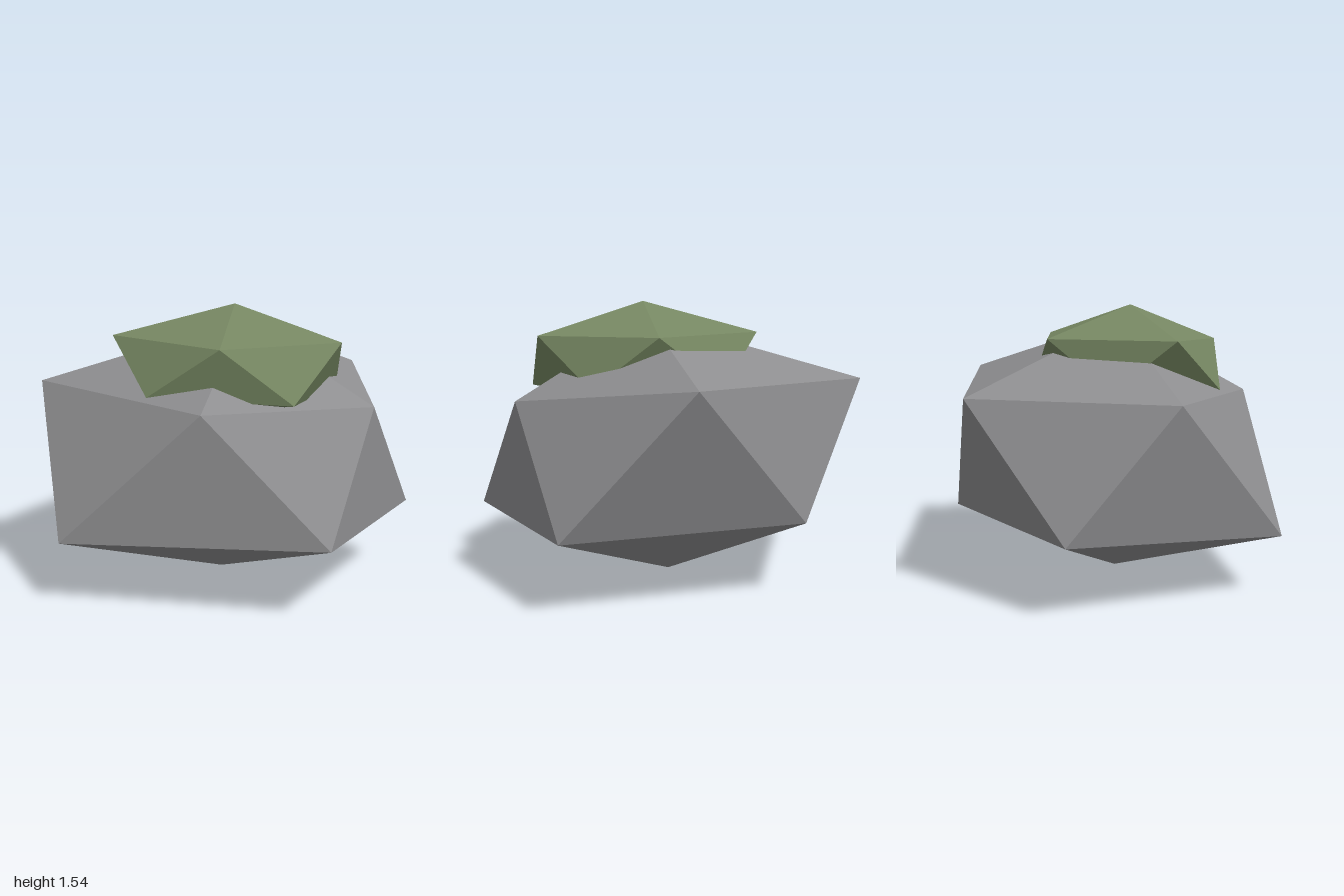
import * as THREE from 'three';

// Faceted boulder: a top point, a five-point upper ring, a staggered lower ring and a bottom point.
// Both rings run counterclockwise seen from above; lower[i] sits between upper[i] and upper[i + 1].
function facetedLump(name, material, top, upper, lower, bottom) {
  const positions = [];
  const face = (...corners) => corners.forEach((c) => positions.push(...c));
  for (let i = 0; i < 5; i++) {
    const j = (i + 1) % 5;
    face(top, upper[i], upper[j]);
    face(upper[i], lower[i], upper[j]);
    face(lower[i], lower[j], upper[j]);
    face(bottom, lower[j], lower[i]);
  }
  const geometry = new THREE.BufferGeometry();
  geometry.setAttribute('position', new THREE.Float32BufferAttribute(positions, 3));
  geometry.computeVertexNormals();
  const mesh = new THREE.Mesh(geometry, material);
  mesh.name = name;
  return mesh;
}

function flatMaterial(name, color) {
  const material = new THREE.MeshStandardMaterial({ color, flatShading: true });
  material.name = name;
  return material;
}

export function createModel() {
  const group = new THREE.Group();
  group.name = 'mossyRock';

  // Large grey stone
  group.add(facetedLump('rock', flatMaterial('stoneGrey', 0x8e8e90),
    [0.2, 1.45, -0.02],
    [[-0.81, 1.1, 0.5], [0.37, 1.04, 0.7], [0.98, 1.03, -0.02], [0.46, 1.14, -0.98], [-0.86, 1.11, -0.58]],
    [[-0.32, 0.35, 0.97], [0.99, 0.4, 0.51], [0.99, 0.4, -0.57], [-0.26, 0.41, -0.87], [-1, 0.42, -0.03]],
    [0.07, 0, -0.02]));

  // Moss cap sunk into the top of the stone
  group.add(facetedLump('mossCap', flatMaterial('mossGreen', 0x768762),
    [0.19, 1.54, 0.05],
    [[-0.37, 1.37, 0.41], [0.37, 1.34, 0.52], [0.82, 1.36, 0.05], [0.39, 1.36, -0.49], [-0.34, 1.37, -0.3]],
    [[-0.02, 1.08, 0.6], [0.72, 1.07, 0.39], [0.66, 1.09, -0.26], [0, 1.09, -0.49], [-0.36, 1.09, 0.06]],
    [0.19, 0.95, 0.05]));

  return group;
}
